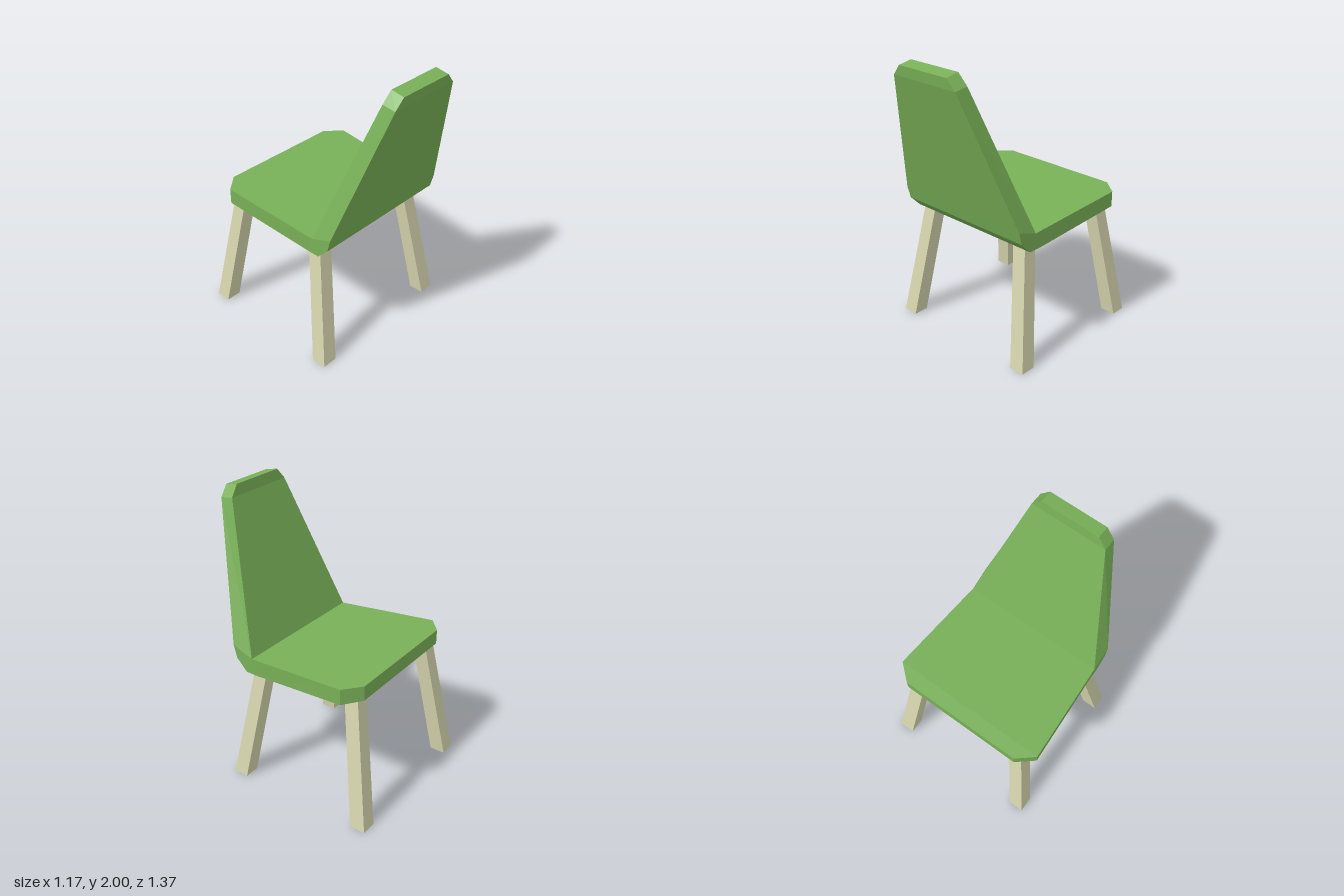
import * as THREE from 'three';

// Quad-section loft: sections are arrays of four corners, capped at both ends
function loft(sections) {
  const pos = [];
  const tri = (a, b, c) => {
    const t = new THREE.Triangle(a, b, c);
    if (t.getArea() > 1e-7) for (const p of [a, b, c]) pos.push(p.x, p.y, p.z);
  };
  const quad = (a, b, c, d) => { tri(a, b, c); tri(a, c, d); };
  for (let i = 0; i < sections.length - 1; i++) {
    const a = sections[i], b = sections[i + 1];
    for (let j = 0; j < 4; j++) {
      const k = (j + 1) % 4;
      quad(a[j], b[j], b[k], a[k]);
    }
  }
  quad(...sections[0]);
  quad(...[...sections[sections.length - 1]].reverse());
  const g = new THREE.BufferGeometry();
  g.setAttribute('position', new THREE.Float32BufferAttribute(pos, 3));
  g.computeVertexNormals();
  return g;
}

export function createModel() {
  const green = new THREE.MeshStandardMaterial({ color: 0x78b057 });
  green.name = 'green shell';
  const wood = new THREE.MeshStandardMaterial({ color: 0xd6d5ae });
  wood.name = 'pale wood';
  const V = (x, y, z) => new THREE.Vector3(x, y, z);
  const group = new THREE.Group();
  group.name = 'chair';

  // Bent seat and backrest: inner z, inner y, outer z, outer y, half width
  const cx = 0.012;
  const profile = [
    [-0.58, 1.018, -0.58, 0.915, 0.445],
    [-0.48, 1.015, -0.48, 0.906, 0.562],
    [0.26, 0.957, 0.225, 0.841, 0.52],
    [0.26, 0.957, 0.31, 0.843, 0.52],
    [0.26, 0.957, 0.39, 0.925, 0.52],
    [0.26, 0.957, 0.415, 1.015, 0.52],
    [0.585, 1.925, 0.68, 1.912, 0.267],
    [0.595, 2.0, 0.688, 1.983, 0.205],
  ];
  const shell = new THREE.Mesh(loft(profile.map(([zi, yi, zo, yo, w]) => [
    V(cx - w, yi, zi), V(cx + w, yi, zi), V(cx + w, yo, zo), V(cx - w, yo, zo),
  ])), green);
  shell.name = 'seatAndBackrest';
  group.add(shell);

  // Splayed square legs with level feet
  const square = (x, y, z, h) => [
    V(x - h, y, z - h), V(x - h, y, z + h), V(x + h, y, z + h), V(x + h, y, z - h),
  ];
  for (const [end, zFoot, zTop, yTop, xTop] of [
    ['front', -0.63, -0.481, 0.93, 0.409],
    ['rear', 0.373, 0.237, 0.865, 0.417],
  ]) {
    for (const s of [-1, 1]) {
      const leg = new THREE.Mesh(loft([
        square(s * xTop, yTop, zTop, 0.05),
        square(s * 0.53, 0, zFoot, 0.055),
      ]), wood);
      leg.name = end + (s > 0 ? 'LegLeft' : 'LegRight');
      group.add(leg);
    }
  }
  return group;
}
